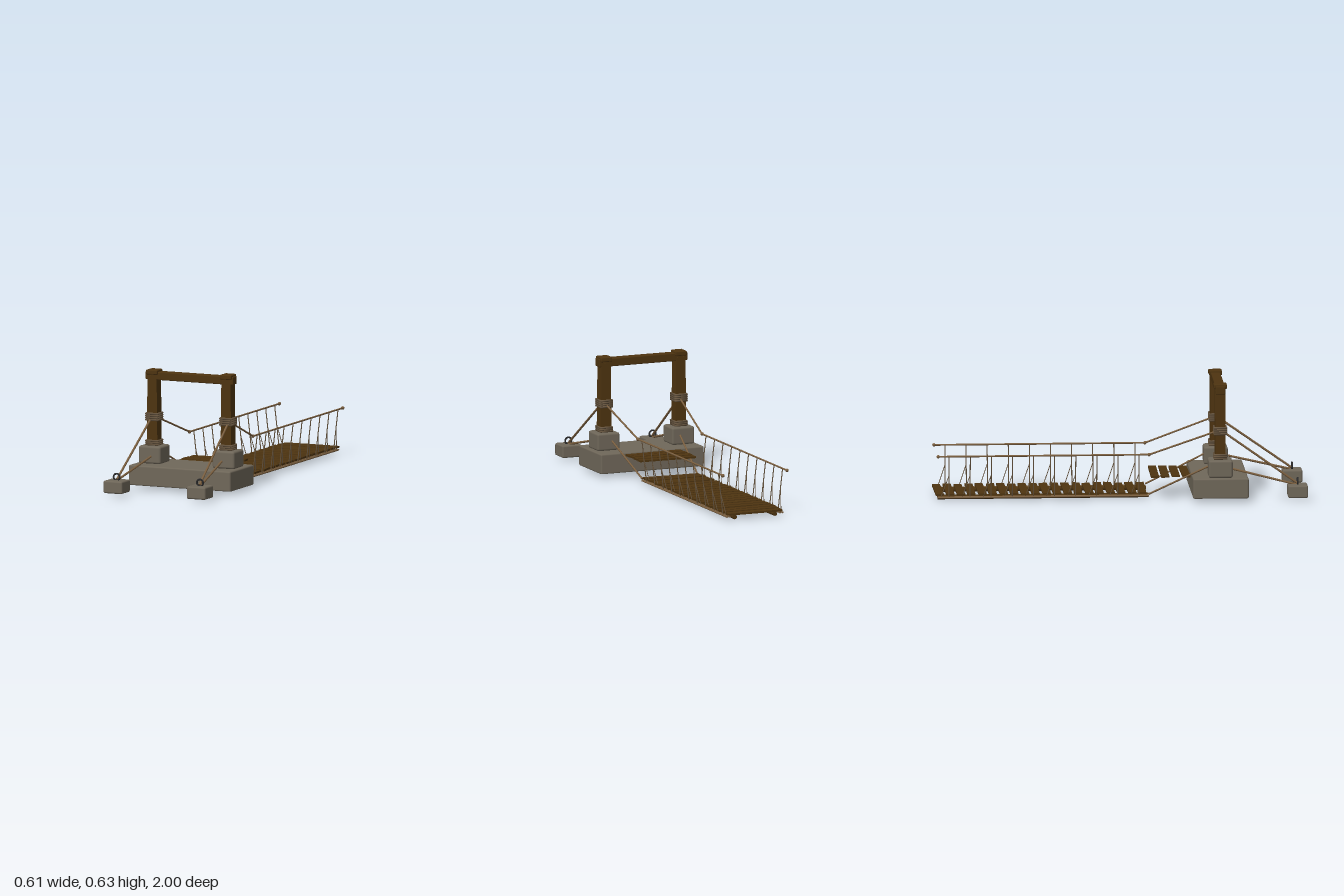
import * as THREE from 'three';
import { RoundedBoxGeometry } from 'three/addons/geometries/RoundedBoxGeometry.js';

const makeMaterial = (name, color, side = THREE.FrontSide) => {
  const m = new THREE.MeshStandardMaterial({ color, side });
  m.name = name;
  return m;
};

export function createModel() {
  const model = new THREE.Group();
  model.name = 'ropeBridge';
  const wood = makeMaterial('dark wood', 0x4e3410);
  const stone = makeMaterial('stone', 0x70685a, THREE.DoubleSide);
  const rope = makeMaterial('rope', 0x7c6040);
  const coilRope = makeMaterial('weathered rope', 0x685640);
  const iron = makeMaterial('iron', 0x2a2a2b);

  const add = (name, geometry, material, x = 0, y = 0, z = 0, parent = model) => {
    const mesh = new THREE.Mesh(geometry, material);
    mesh.name = name;
    mesh.position.set(x, y, z);
    parent.add(mesh);
    return mesh;
  };

  // Chamfered block; the open version leaves out its underside
  const block = (w, h, d, r, open = false) => {
    const g = new RoundedBoxGeometry(w, h, d, 1, r);
    if (!open) return g;
    const per = g.attributes.position.count / 6;
    const out = new THREE.BufferGeometry();
    for (const key of ['position', 'normal']) {
      const a = g.attributes[key].array;
      const kept = [...a.slice(0, per * 9), ...a.slice(per * 12)];
      out.setAttribute(key, new THREE.Float32BufferAttribute(kept, 3));
    }
    return out;
  };

  // Straight round bar between two points
  const bar = (name, a, b, r, material = rope, sides = 8) => {
    const from = new THREE.Vector3(...a), to = new THREE.Vector3(...b);
    const dir = to.clone().sub(from);
    const mesh = add(name, new THREE.CylinderGeometry(r, r, dir.length(), sides), material);
    mesh.position.copy(from).add(to).multiplyScalar(0.5);
    mesh.quaternion.setFromUnitVectors(new THREE.Vector3(0, 1, 0), dir.normalize());
    return mesh;
  };

  // Seeded wobble for the loose planks
  let seed = 7;
  const wobble = () => {
    seed = (seed * 16807) % 2147483647;
    return seed / 2147483647 - 0.5;
  };

  // Stone landing, hollow underneath
  add('foundation', block(0.606, 0.111, 0.3, 0.009, true), stone, 0, 0.0725, 0.53);

  // Gate lintel
  add('lintel', block(0.52, 0.044, 0.052, 0.005), wood, 0, 0.601, 0.53);

  for (const s of [1, -1]) {
    // Gate post on its stone pedestal, narrowing slightly upward
    add('pedestal', block(0.132, 0.096, 0.13, 0.012), stone, s * 0.219, 0.175, 0.53);
    const postGeo = new THREE.BoxGeometry(0.064, 0.4, 0.056);
    const p = postGeo.attributes.position;
    for (let i = 0; i < p.count; i++) {
      if (p.getY(i) > 0) p.setX(i, p.getX(i) * 0.84);
    }
    postGeo.computeVertexNormals();
    add('post', postGeo, wood, s * 0.219, 0.4, 0.53);
    add('postCap', block(0.068, 0.026, 0.072, 0.006), wood, s * 0.219, 0.62, 0.53);

    // Square rope windings on the post
    const coilGeo = new THREE.TorusGeometry(0.046, 0.0065, 6, 4);
    coilGeo.rotateZ(Math.PI / 4).rotateX(Math.PI / 2);
    for (const y of [0.228, 0.238, 0.248, 0.362, 0.373, 0.384, 0.395]) {
      add('postCoil', coilGeo, coilRope, s * 0.219, y, 0.53);
    }

    // Ground anchor with iron ring and its two stays
    add('anchorStone', block(0.113, 0.068, 0.108, 0.009), stone, s * 0.247, 0.051, 0.945);
    add('anchorRing', new THREE.TorusGeometry(0.0185, 0.005, 8, 20), iron, s * 0.247, 0.101, 0.945);
    bar('upperStay', [s * 0.228, 0.372, 0.545], [s * 0.245, 0.09, 0.945], 0.006);
    bar('lowerStay', [s * 0.207, 0.175, 0.56], [s * 0.247, 0.082, 0.945], 0.006);

    // Handrail and deck approach ropes
    bar('railApproach', [s * 0.218, 0.376, 0.52], [s * 0.188, 0.244, 0.15], 0.005);
    bar('handrail', [s * 0.188, 0.244, 0.15], [s * 0.188, 0.244, -0.985], 0.005);
    bar('deckApproach', [s * 0.2, 0.18, 0.47], [s * 0.162, 0.025, 0.15], 0.005);
    for (const z of [0.15, -0.985]) {
      add('railKnot', new THREE.SphereGeometry(0.0095, 10, 8), rope, s * 0.188, 0.244, z);
    }

    // Stringer and side ropes under the deck
    bar('stringer', [s * 0.118, 0.0125, 0.15], [s * 0.118, 0.0125, -0.985], 0.0125, wood, 10);
    for (const x of [0.148, 0.163]) {
      bar('deckRope', [s * x, 0.016, 0.15], [s * x, 0.016, -0.985], 0.005);
    }

    // Forked hangers between handrail and deck
    for (let i = 0; i < 10; i++) {
      const z = 0.096 - i * 0.1135;
      bar('hanger', [s * 0.188, 0.244, z], [s * 0.162, 0.02, z], 0.0028, coilRope, 6);
      bar('hangerFork', [s * 0.176, 0.14, z], [s * 0.16, 0.02, z - 0.042], 0.0022, coilRope, 6);
    }
  }

  // Planks of the hanging deck and of the short upper platform
  const plank = (name, y, z) => {
    const geo = new THREE.BoxGeometry(0.324 + wobble() * 0.012, 0.01, 0.043);
    const mesh = add(name, geo, wood, wobble() * 0.008, y + wobble() * 0.003, z);
    mesh.rotation.set(wobble() * 0.06, wobble() * 0.03, wobble() * 0.01);
  };
  for (let i = 0; i < 20; i++) plank('deckPlank', 0.031, -0.975 + i * 0.0575);
  for (let i = 0; i < 4; i++) plank('platformPlank', 0.118, 0.185 + i * 0.0555);

  return model;
}
